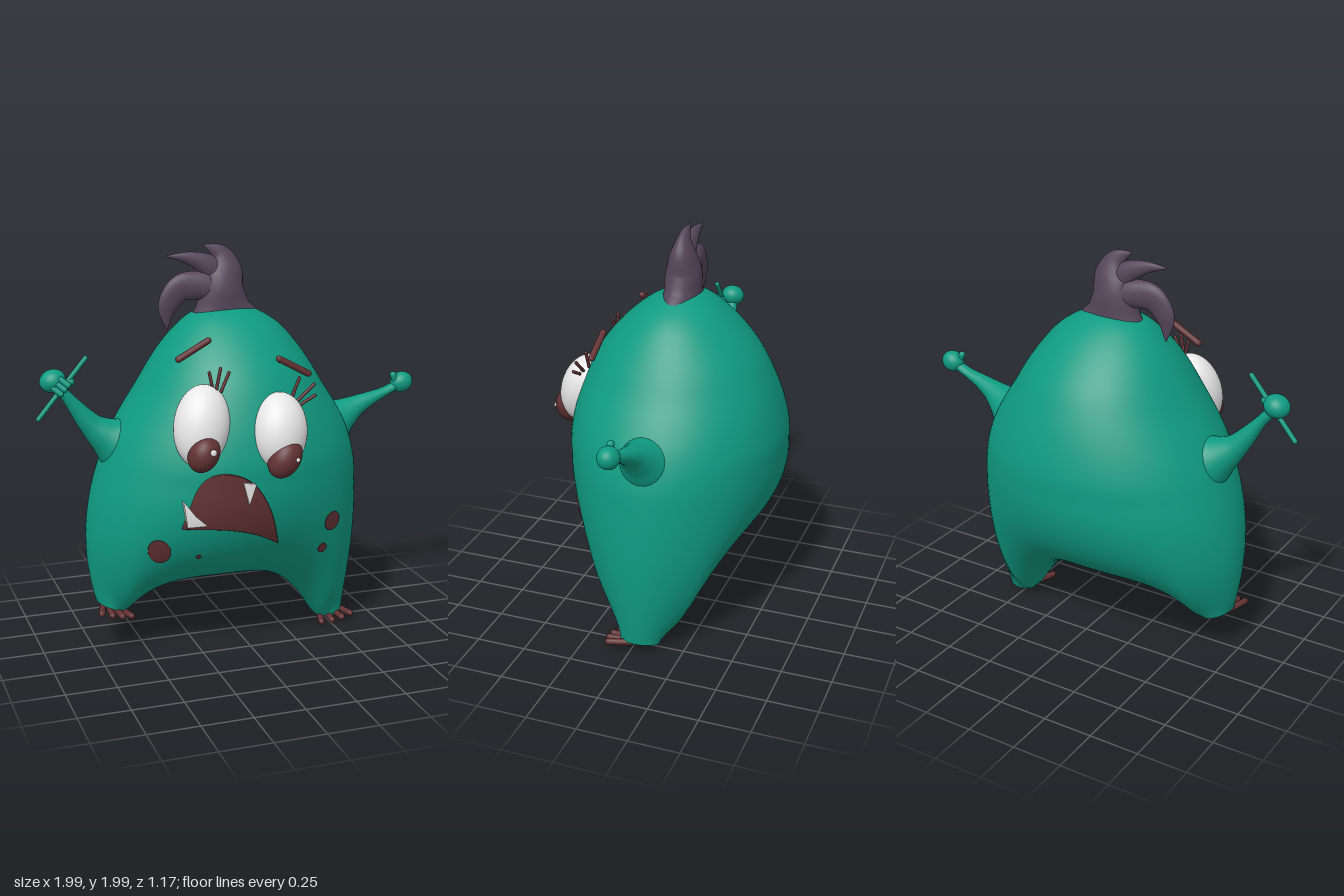
import * as THREE from 'three';

const V = (x, y, z) => new THREE.Vector3(x, y, z);
const material = (name, color) => Object.assign(new THREE.MeshStandardMaterial({ color }), { name });

// Skins a list of equally sized closed rings with smooth normals.
function loft(rings) {
  const n = rings[0].length, index = [];
  for (let i = 0; i < rings.length - 1; i++) {
    for (let j = 0; j < n; j++) {
      const a = i * n + j, b = i * n + (j + 1) % n;
      index.push(a, b, a + n, b, b + n, a + n);
    }
  }
  const geo = new THREE.BufferGeometry().setFromPoints(rings.flat());
  geo.setIndex(index);
  geo.computeVertexNormals();
  return geo;
}

// Tapering limb; each section is [x, y, z, radius in the xy plane, radius in z].
function limb(sections, steps = 28, sides = 24) {
  const path = new THREE.CatmullRomCurve3(sections.map(s => V(s[0], s[1], s[2])));
  const size = new THREE.CatmullRomCurve3(sections.map(s => V(s[3], s[4], 0)));
  const rings = [];
  for (let i = 0; i <= steps; i++) {
    const p = path.getPoint(i / steps), t = path.getTangent(i / steps), r = size.getPoint(i / steps);
    rings.push(Array.from({ length: sides }, (_, j) => {
      const a = j / sides * Math.PI * 2, c = Math.cos(a) * r.x;
      return V(p.x - t.y * c, p.y + t.x * c, p.z + Math.sin(a) * r.y);
    }));
  }
  return loft(rings);
}

// Body: straight rings above the belly, rings bending over the leg arch below it.
const UPPER = [ // height, right edge, left edge, half depth
  [1.69, -0.03, -0.03, 0], [1.685, -0.12, 0.07, 0.08], [1.66, -0.2, 0.14, 0.14], [1.6, -0.275, 0.235, 0.225],
  [1.5, -0.36, 0.325, 0.325], [1.4, -0.425, 0.395, 0.4], [1.3, -0.485, 0.455, 0.45], [1.2, -0.55, 0.52, 0.488],
  [1.1, -0.61, 0.575, 0.515], [1.0, -0.655, 0.612, 0.532], [0.9, -0.69, 0.635, 0.53],
];
const SOLE = 0.77, BELLY = 0.9, SIDES = 112;

function archHeight(u) {
  const k = Math.abs(u) / SOLE, s = (Math.abs(u) - SOLE) / (1 - SOLE);
  if (u < 0) return k < 1 ? 0.335 - 0.145 * k ** 4 : 0.19 + 0.05 * s;
  return k < 1 ? 0.335 - 0.315 * k ** 3 : 0.02 + 0.04 * s;
}

function bodyRings() {
  const edges = new THREE.CatmullRomCurve3(UPPER.map(r => V(r[1], r[0], r[2])));
  const depth = new THREE.CatmullRomCurve3(UPPER.map(r => V(r[3], r[0], 0)));
  const rings = [];
  const ring = fn => rings.push(Array.from({ length: SIDES }, (_, j) => {
    const a = j / SIDES * Math.PI * 2;
    return fn(Math.cos(a), Math.sin(a));
  }));
  for (let i = 0; i <= 40; i++) {
    const e = edges.getPoint(i / 40), d = Math.max(0, depth.getPoint(i / 40).x);
    ring((u, w) => V((e.x + e.z) / 2 + u * (e.z - e.x) / 2, e.y, -0.05 + w * d));
  }
  for (let i = 1; i <= 32; i++) {
    const a = i / 32 * Math.PI / 2, t = Math.sin(a);
    const xl = -0.69 - 0.03 * t - 0.2 * t * (1 - t), xr = 0.635 - 0.035 * t + 0.11 * t * (1 - t);
    ring((u, w) => {
      const f = (Math.abs(u) - (1 + SOLE) / 2) / ((1 - SOLE) / 2);
      const foot = 0.1 * t ** 4 * Math.sqrt(Math.max(0, 1 - f * f));
      const d = Math.hypot(0.53 * Math.cos(a) * w, foot);
      return V((xl + xr) / 2 + u * (xr - xl) / 2, BELLY + (archHeight(u) - BELLY) * t,
        -0.05 + 0.02 * t ** 4 + Math.sign(Math.abs(w) < 1e-6 ? 0 : w) * d);
    });
  }
  return rings;
}

// Flat soles bridging the front and back of the lowest ring.
function soleGeometry(ring) {
  const index = [];
  for (let j = 0; j < SIDES / 2; j++) {
    const a = j, b = j + 1, c = (SIDES - j) % SIDES, d = SIDES - j - 1;
    index.push(a, b, c, b, d, c);
  }
  const geo = new THREE.BufferGeometry().setFromPoints(ring);
  geo.setIndex(index);
  geo.computeVertexNormals();
  return geo;
}

export function createModel() {
  const model = new THREE.Group();
  const skin = material('teal skin', 0x0f9b82), brown = material('dark brown', 0x633233);
  const white = material('eye white', 0xe8e8e8), purple = material('purple hair', 0x55465a);
  const add = (name, geo, mat) => {
    const mesh = new THREE.Mesh(geo, mat);
    mesh.name = name;
    model.add(mesh);
    return mesh;
  };
  const ball = (name, mat, pos, size, rot = [0, 0, 0]) => {
    const mesh = add(name, new THREE.SphereGeometry(1, 40, 28), mat);
    mesh.position.set(...pos);
    mesh.scale.set(...size);
    mesh.rotation.set(...rot);
  };
  const rod = (name, mat, from, to, r) => {
    const p = V(...from), q = V(...to), dir = q.clone().sub(p);
    const mesh = add(name, new THREE.CapsuleGeometry(r, dir.length(), 6, 12), mat);
    mesh.position.copy(p).add(q).multiplyScalar(0.5);
    mesh.quaternion.setFromUnitVectors(V(0, 1, 0), dir.normalize());
  };

  // Body and soles
  const rings = bodyRings();
  const body = add('body', loft(rings), skin);
  const soleMat = skin;
  add('soles', soleGeometry(rings[rings.length - 1]), soleMat);

  // Thin patches that follow the front of the body
  const ray = new THREE.Raycaster();
  const frontZ = (x, y) => {
    ray.set(V(x, y, 3), V(0, 0, -1));
    const hit = ray.intersectObject(body)[0];
    return hit ? hit.point.z : 0.3;
  };
  const patch = (name, mat, shape, lift, count = 48) => {
    const pts = shape.getSpacedPoints(count).slice(0, count);
    const mid = pts.reduce((s, p) => s.add(p), new THREE.Vector2()).divideScalar(count);
    const rows = [[1, -0.01], [1, lift], [0.98, lift], [0.8, lift], [0.6, lift], [0.4, lift], [0.2, lift], [0, lift]];
    add(name, loft(rows.map(([k, h]) => pts.map(p => {
      const x = mid.x + (p.x - mid.x) * k, y = mid.y + (p.y - mid.y) * k;
      return V(x, y, frontZ(x, y) + h);
    }))), mat);
  };
  const P = list => list.map(p => new THREE.Vector2(...p));

  // Mouth and fangs
  const mouth = new THREE.Shape().moveTo(-0.395, 0.715)
    .splineThru(P([[-0.2, 0.705], [-0.045, 0.665], [0.085, 0.595]]))
    .splineThru(P([[0.01, 0.81], [-0.085, 0.945], [-0.22, 0.985], [-0.32, 0.92], [-0.395, 0.715]]));
  patch('mouth', brown, mouth, 0.014, 80);
  const fang = pts => new THREE.Shape(P(pts)).closePath();
  patch('lowerFang', white, fang([[-0.375, 0.725], [-0.285, 0.735], [-0.34, 0.785], [-0.395, 0.86]]), 0.024);
  patch('upperFang', white, fang([[-0.125, 0.945], [-0.095, 0.83], [-0.062, 0.935]]), 0.024);

  // Skin spots
  for (const [x, y, rx, ry, turn] of [[-0.485, 0.585, 0.05, 0.065, 0.3], [-0.3, 0.55, 0.012, 0.012, 0],
    [0.395, 0.655, 0.048, 0.05, 0], [0.355, 0.51, 0.025, 0.026, 0]])
    patch('spot', brown, new THREE.Shape().absellipse(x, y, rx, ry, 0, Math.PI * 2, false, turn), 0.006);

  // Eyes
  ball('rightEye', white, [-0.285, 1.2, 0.36], [0.133, 0.195, 0.115], [-0.3, -0.2, -0.2]);
  ball('leftEye', white, [0.08, 1.16, 0.42], [0.135, 0.185, 0.125], [-0.3, 0.1, -0.12]);
  ball('rightPupil', brown, [-0.305, 1.09, 0.455], [0.072, 0.09, 0.075], [-0.1, -0.1, -0.5]);
  ball('leftPupil', brown, [0.075, 1.05, 0.51], [0.075, 0.1, 0.075], [-0.1, 0, -0.6]);
  ball('rightGlint', white, [-0.28, 1.11, 0.525], [0.016, 0.016, 0.008]);
  ball('leftGlint', white, [0.115, 1.055, 0.576], [0.011, 0.011, 0.008]);

  // Eyelashes and eyebrows
  for (const [x1, y1, x2, y2, z] of [[-0.225, 1.37, -0.24, 1.445, 0.34], [-0.21, 1.37, -0.19, 1.465, 0.355],
    [-0.19, 1.36, -0.152, 1.445, 0.365], [0.165, 1.31, 0.2, 1.395, 0.365], [0.18, 1.29, 0.265, 1.365, 0.39],
    [0.19, 1.275, 0.265, 1.315, 0.405]])
    rod('eyelash', brown, [x1, y1, z], [x2, y2, z], 0.008);
  const brow = (name, from, to) => rod(name, brown, from, to, 0.016);
  brow('rightEyebrow', [-0.355, 1.495, 0.23], [-0.21, 1.575, 0.23]);
  brow('leftEyebrow', [0.12, 1.48, 0.305], [0.27, 1.4, 0.305]);

  // Arms flaring out of the body
  add('rightArm', limb([[-0.5, 1.0, -0.06, 0.19, 0.16], [-0.58, 1.04, -0.06, 0.145, 0.13], [-0.65, 1.085, -0.055, 0.092, 0.09],
    [-0.715, 1.14, -0.05, 0.06, 0.06], [-0.78, 1.22, -0.045, 0.041, 0.042], [-0.84, 1.3, -0.04, 0.027, 0.03],
    [-0.89, 1.36, -0.035, 0.026, 0.028]]), skin);
  add('leftArm', limb([[0.45, 1.01, -0.07, 0.19, 0.17], [0.54, 1.045, -0.07, 0.14, 0.13], [0.61, 1.085, -0.065, 0.088, 0.09],
    [0.68, 1.125, -0.06, 0.055, 0.06], [0.76, 1.16, -0.055, 0.036, 0.042], [0.84, 1.19, -0.055, 0.024, 0.032],
    [0.92, 1.225, -0.055, 0.022, 0.028]]), skin);

  // Hands, thumbs and the stick
  ball('leftHand', skin, [0.938, 1.236, -0.055], [0.06, 0.053, 0.052], [0, 0, 0.3]);
  rod('leftThumb', skin, [0.905, 1.235, -0.045], [0.886, 1.278, -0.045], 0.017);
  ball('rightHand', skin, [-0.903, 1.378, -0.03], [0.064, 0.054, 0.062], [0, 0, 0.35]);
  rod('rightThumb', skin, [-0.87, 1.335, 0.0], [-0.825, 1.375, 0.01], 0.02);
  for (const k of [-1, 0, 1])
    rod('rightFinger', skin, [-0.89 + k * 0.018, 1.37 + k * 0.02, 0.02], [-0.86 + k * 0.018, 1.345 + k * 0.02, 0.035], 0.015);
  rod('stick', skin, [-0.985, 1.205, 0.01], [-0.75, 1.485, 0.01], 0.012);

  // Toes fanning forward from each foot
  for (const [side, x0, y0, x1, y1] of [['right', -0.705, 0.22, -0.595, 0.19], ['left', 0.465, 0.022, 0.585, 0.05]]) {
    for (let i = 0; i < 4; i++) {
      const k = i / 3, x = x0 + (x1 - x0) * k, y = y0 + (y1 - y0) * k, fan = (k - 0.5) * 0.04;
      const reach = 0.125 - 0.07 * (k - 0.5) ** 2;
      rod(side + 'Toe', brown, [x - fan * 0.5, y, 0.0], [x + fan, y, reach], 0.016);
    }
  }

  // Hair tuft: a central crest and two locks sweeping to the right
  add('hairCrest', limb([[-0.04, 1.64, -0.05, 0.18, 0.09], [-0.045, 1.7, -0.05, 0.135, 0.088], [-0.045, 1.78, -0.05, 0.108, 0.086],
    [-0.035, 1.87, -0.05, 0.088, 0.062], [-0.06, 1.945, -0.05, 0.048, 0.028], [-0.14, 1.99, -0.05, 0.003, 0.003]]), purple);
  add('upperLock', limb([[-0.03, 1.81, -0.05, 0.07, 0.05], [-0.12, 1.89, -0.05, 0.055, 0.04],
    [-0.22, 1.93, -0.05, 0.03, 0.022], [-0.33, 1.942, -0.05, 0.002, 0.002]]), purple);
  add('lowerLock', limb([[-0.05, 1.77, -0.05, 0.075, 0.07], [-0.17, 1.795, -0.05, 0.07, 0.05], [-0.26, 1.785, -0.05, 0.066, 0.034],
    [-0.325, 1.7, -0.05, 0.05, 0.022], [-0.33, 1.585, -0.05, 0.002, 0.002]]), purple);

  return model;
}
